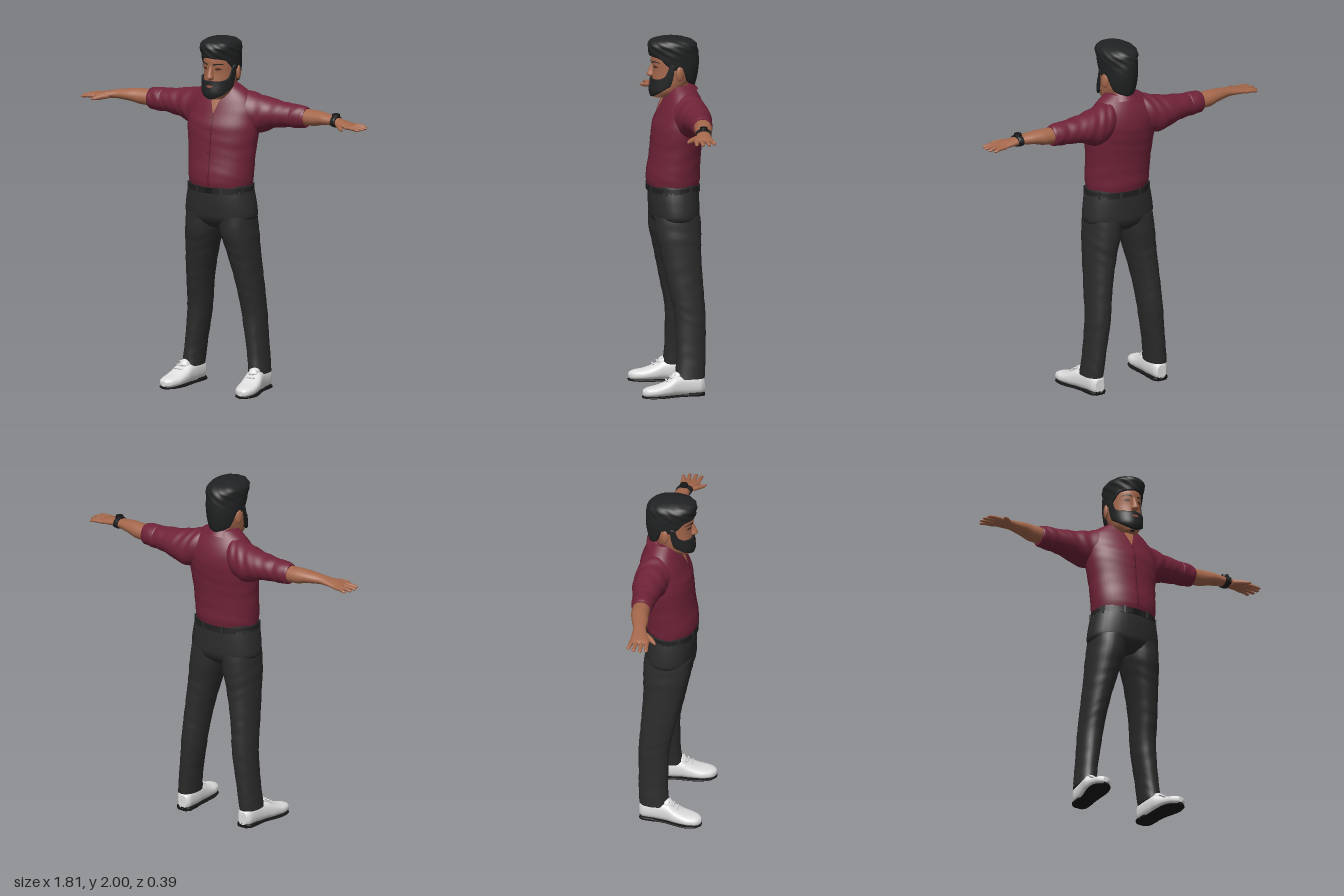
import * as THREE from 'three';
import { mergeVertices } from 'three/addons/utils/BufferGeometryUtils.js';

const mat = (name, color, open) => {
  const m = new THREE.MeshStandardMaterial({ color });
  m.name = name;
  if (open) m.side = THREE.DoubleSide;
  return m;
};

// Smooth monotone interpolation of a table whose first column is t
function sample(rows, t) {
  const n = rows.length - 1;
  t = Math.min(Math.max(t, rows[0][0]), rows[n][0]);
  let i = 0;
  while (i < n - 1 && t > rows[i + 1][0]) i++;
  const h = rows[i + 1][0] - rows[i][0], s = (t - rows[i][0]) / h;
  return rows[0].map((_, k) => {
    const slope = j => (rows[j + 1][k] - rows[j][k]) / (rows[j + 1][0] - rows[j][0]);
    const tan = j => {
      if (j === 0) return slope(0);
      if (j === n) return slope(n - 1);
      const a = slope(j - 1), b = slope(j);
      return a * b > 0 ? 2 * a * b / (a + b) : 0;
    };
    const s2 = s * s, s3 = s2 * s;
    return (2 * s3 - 3 * s2 + 1) * rows[i][k] + (s3 - 2 * s2 + s) * h * tan(i)
      + (3 * s2 - 2 * s3) * rows[i + 1][k] + (s3 - s2) * h * tan(i + 1);
  });
}

// Closed body along an axis; rows are [t, cu, cv, ru, rv], (u,v) = y:(z,x) x:(y,z) z:(x,y)
function loft(axis, rows, { power = 2, steps = 24, sides = 32, ripple = 0 } = {}) {
  const pos = [], idx = [], t0 = rows[0][0], t1 = rows[rows.length - 1][0];
  const put = (t, u, v) => pos.push(...(axis === 'y' ? [v, t, u] : axis === 'x' ? [t, u, v] : [u, v, t]));
  const ring = t => {
    const [, cu, cv, ru, rv] = sample(rows, t);
    for (let j = 0; j < sides; j++) {
      const a = j / sides * Math.PI * 2, c = Math.cos(a), s = Math.sin(a);
      const k = 1 + ripple * Math.sin(t * 75 + 2 * Math.sin(a * 2 + t * 9)) * Math.sin(a + t * 14);
      put(t, cu + k * ru * Math.sign(c) * Math.abs(c) ** (2 / power),
        cv + k * rv * Math.sign(s) * Math.abs(s) ** (2 / power));
    }
  };
  for (let i = 0; i <= steps; i++) ring(t0 + (t1 - t0) * i / steps);
  for (let i = 0; i < steps; i++) for (let j = 0; j < sides; j++) {
    const a = i * sides + j, b = i * sides + (j + 1) % sides;
    idx.push(a, b, a + sides, b, b + sides, a + sides);
  }
  for (const [t, top] of [[t0, false], [t1, true]]) {
    const base = pos.length / 3, r = sample(rows, t);
    ring(t);
    put(t, r[1], r[2]);
    for (let j = 0; j < sides; j++) {
      const a = base + j, b = base + (j + 1) % sides;
      idx.push(...(top ? [a, b, base + sides] : [b, a, base + sides]));
    }
  }
  return build(pos, idx);
}

function build(pos, idx) {
  const g = new THREE.BufferGeometry();
  g.setAttribute('position', new THREE.Float32BufferAttribute(pos, 3));
  g.setIndex(idx);
  g.computeVertexNormals();
  return g;
}

// Open surface from a rule (u, v) -> [x, y, z]
function patch(fn, nu, nv) {
  const pos = [], idx = [];
  for (let j = 0; j <= nv; j++) for (let i = 0; i <= nu; i++) pos.push(...fn(i / nu, j / nv));
  for (let j = 0; j < nv; j++) for (let i = 0; i < nu; i++) {
    const a = j * (nu + 1) + i, c = a + nu + 1;
    idx.push(a, a + 1, c, a + 1, c + 1, c);
  }
  const g = build(pos, idx);
  g.deleteAttribute('normal');
  const m = mergeVertices(g, 1e-5);
  m.computeVertexNormals();
  return m;
}

// Thin detail lying on the front of a vertical body
const decal = (rows, fn, off, nu = 8, nv = 8) => patch((u, v) => {
  const [x, y] = fn(u, v), [, cz, , rz, rx] = sample(rows, y);
  return [x, y, cz + rz * Math.sqrt(Math.max(0, 1 - (x / rx) ** 2)) + off];
}, nu, nv);

function mirrored(geo) {
  const g = geo.clone().scale(-1, 1, 1), ix = g.index.array;
  for (let i = 0; i < ix.length; i += 3) [ix[i], ix[i + 1]] = [ix[i + 1], ix[i]];
  g.computeVertexNormals();
  return g;
}

const HEAD = [[1.66, .045, 0, .055, .045], [1.70, .02, 0, .09, .076], [1.76, -.005, 0, .108, .086],
  [1.82, -.015, 0, .115, .09], [1.88, -.015, 0, .122, .09], [1.94, -.02, 0, .11, .085], [1.975, -.02, 0, .06, .05]];
const HAIR = [[1.71, -.045, 0, .09, .074], [1.78, -.035, 0, .118, .093], [1.85, -.028, 0, .133, .101],
  [1.9, -.02, 0, .138, .104], [1.95, -.012, 0, .14, .107], [1.975, -.006, 0, .122, .094],
  [1.99, 0, 0, .085, .066], [1.998, .005, 0, .04, .035], [2, .005, 0, 0, 0]];
const TORSO = [[1.165, -.015, 0, .143, .185], [1.2, -.015, 0, .15, .19], [1.35, -.028, 0, .143, .2],
  [1.5, -.045, 0, .145, .216], [1.58, -.06, 0, .13, .213], [1.64, -.063, 0, .11, .19],
  [1.69, -.06, 0, .085, .14], [1.725, -.055, 0, .068, .085]];

export function createModel() {
  const skin = mat('skin', 0xa5684c, true), shirt = mat('shirt red', 0x702338, true);
  const seam = mat('seam red', 0x521828, true), cloth = mat('trouser charcoal', 0x2b2b2c);
  const belt = mat('belt black', 0x1f1f20), hair = mat('hair black', 0x212223, true);
  const white = mat('shoe white', 0xdedede), sole = mat('sole black', 0x161616);
  const lip = mat('lip brown', 0x85493c, true), dark = mat('eye brown', 0x4a2d22, true);
  const model = new THREE.Group();
  const add = (name, geo, m) => {
    const mesh = new THREE.Mesh(geo, m);
    mesh.name = name;
    model.add(mesh);
  };
  const pair = (name, geo, m) => {
    add(name + 'Left', geo, m);
    add(name + 'Right', mirrored(geo), m);
  };

  // Head, neck and face
  add('head', loft('y', HEAD), skin);
  add('neck', loft('y', [[1.56, -.05, 0, .066, .07], [1.65, -.045, 0, .06, .062], [1.76, -.035, 0, .062, .064]]), skin);
  add('nose', loft('y', [[1.772, .1, 0, .008, .012], [1.785, .108, 0, .025, .02], [1.81, .105, 0, .02, .014],
    [1.85, .094, 0, .014, .01], [1.87, .095, 0, .008, .012]], { sides: 16 }), skin);
  pair('ear', new THREE.SphereGeometry(1, 14, 10).scale(.012, .042, .024).rotateY(.3).translate(.097, 1.8, -.04), skin);
  pair('eyebrow', decal(HEAD, (u, v) => [.017 + .05 * u, 1.853 + .008 * Math.sin(u * 2.6) + .009 * v * (1 - .6 * u)], .004), hair);
  pair('eye', decal(HEAD, (u, v) => [.022 + .036 * u, 1.834 + (v - .5) * .014 * Math.sin(u * Math.PI)], .002), dark);

  // Beard wraps the jaw and climbs into the sideburns
  const beardTop = [[0, 1.768], [.4, 1.764], [.8, 1.768], [1.1, 1.785], [1.35, 1.85], [1.5, 1.85]];
  add('beard', patch((u, v) => {
    const a = (u - .5) * 3, k = Math.abs(a), low = 1.655 + .028 * k * k;
    const y = low + (sample(beardTop, k)[1] - low) * Math.min(v * 1.1, 1);
    const [, cz, , rz, rx] = sample(HEAD, y), s = v === 0 ? .5 : v === 1 ? .9 : 1;
    return [Math.sin(a) * (rx + .012) * s, y, cz + Math.cos(a) * (rz + .011) * s];
  }, 40, 14), hair);
  add('lips', decal(HEAD, (u, v) => [(u - .5) * .05, 1.737 + (v - .5) * .016 * Math.sin(u * Math.PI)], .015), lip);

  // Swept, lumpy hair with a low nape and raised hairline
  const hairline = [[0, 1.898], [.8, 1.885], [1.15, 1.84], [1.4, 1.82], [1.75, 1.835], [2.1, 1.75], [3.15, 1.715]];
  add('hair', patch((u, v) => {
    const a = (u - .5) * Math.PI * 2, w = Math.min((1 - v) * 1.05, 1);
    const y = 2 - (2 - sample(hairline, Math.abs(a))[1]) * w ** 1.7;
    const [, cz, , rz, rx] = sample(HAIR, y), s = v === 0 ? .84 : 1;
    const lump = 1 + .035 * Math.sin(a * 7 + y * 50) * Math.sin(y * 90 + a * 3) * THREE.MathUtils.smoothstep(y, 1.84, 1.94);
    return [Math.sin(a) * rx * s * lump, y, cz + Math.cos(a) * rz * s * lump];
  }, 64, 26), hair);

  // Shirt with open neck, placket, collar and rolled sleeves
  add('shirtBody', loft('y', TORSO, { steps: 40, sides: 48, ripple: .006 }), shirt);
  add('openNeck', decal(TORSO, (u, v) => [(u - .5) * .085 * v, 1.575 + .115 * v], .005), skin);
  add('placket', decal(TORSO, (u, v) => [.004 + (u - .5) * .007, 1.175 + .4 * v], .003, 1, 30), seam);
  for (let i = 0; i < 6; i++)
    add('button', decal(TORSO, (u, v) => [-.008 + (u - .5) * .008, 1.22 + i * .066 + v * .008], .005, 1, 1), seam);
  add('collar', patch((u, v) => {
    const a = .3 + u * (Math.PI * 2 - .6), front = Math.max(0, Math.cos(a));
    const r = .107 - .035 * v, top = 1.715 - .025 * Math.cos(a);
    return [Math.sin(a) * r, top - (1 - v) * (.04 + .035 * front ** 3), -.048 + Math.cos(a) * r * (1 - .06 * front)];
  }, 40, 5), shirt);
  pair('sleeve', loft('x', [[.08, 1.61, -.07, .085, .085], [.15, 1.58, -.085, .108, .1], [.21, 1.565, -.095, .106, .095],
    [.3, 1.574, -.102, .08, .083], [.4, 1.576, -.1, .066, .066], [.47, 1.576, -.1, .059, .056]], { ripple: .03, steps: 36 }), shirt);
  pair('rolledCuff', loft('x', [[.41, 1.576, -.1, .06, .058], [.42, 1.576, -.1, .067, .064],
    [.49, 1.576, -.099, .061, .056], [.503, 1.576, -.099, .055, .05]], { ripple: .03 }), shirt);

  // Forearms, hands and fingers, palms down
  pair('forearm', loft('x', [[.46, 1.577, -.1, .046, .048], [.55, 1.579, -.096, .045, .05], [.62, 1.584, -.085, .035, .047],
    [.7, 1.582, -.072, .025, .037], [.74, 1.577, -.065, .021, .042], [.78, 1.572, -.057, .018, .05],
    [.82, 1.567, -.054, .013, .052], [.832, 1.566, -.054, .006, .045]], { steps: 32 }), skin);
  [[-.095, -.105, .885], [-.068, -.073, .902], [-.04, -.037, .905], [-.013, -.004, .895]].forEach(([z0, z1, tip]) =>
    pair('finger', loft('x', [[.8, 1.568, z0, .011, .014], [.85, 1.566, (z0 + z1) / 2, .01, .012],
      [tip - .01, 1.561, z1, .008, .01], [tip, 1.56, z1, .002, .003]], { sides: 12, steps: 12 }), skin));
  pair('thumb', loft('x', [[.73, 1.572, -.04, .013, .02], [.76, 1.568, -.01, .014, .02], [.79, 1.562, .018, .011, .015],
    [.81, 1.56, .034, .004, .005]], { sides: 14, steps: 12 }), skin);

  // Wristwatch on the left arm only
  add('watchStrap', loft('x', [[.69, 1.582, -.073, .032, .045], [.705, 1.582, -.071, .034, .045], [.72, 1.58, -.069, .031, .045]]), belt);
  add('watchCase', new THREE.CylinderGeometry(.021, .023, .014, 24).translate(.705, 1.616, -.072), sole);

  // Trousers, waistband and belt loops
  const hips = [[.925, -.025, 0, .085, .1], [.96, -.024, 0, .122, .185], [1.0, -.022, 0, .138, .214],
    [1.08, -.018, 0, .14, .205], [1.18, -.015, 0, .137, .183]];
  add('hips', loft('y', hips, { power: 2.2 }), cloth);
  pair('trouserLeg', loft('y', [[.1, -.075, .213, .084, .055], [.2, -.083, .202, .082, .055], [.4, -.085, .178, .085, .063],
    [.6, -.062, .159, .098, .07], [.8, -.036, .13, .115, .087], [.92, -.025, .109, .13, .1], [1.0, -.022, .1, .13, .1]],
  { steps: 44, ripple: .014, power: 2.15 }), cloth);
  add('belt', loft('y', [[1.13, -.016, 0, .143, .194], [1.163, -.015, 0, .142, .19]], { steps: 2, sides: 48, power: 2.1 }), belt);
  for (const a of [.4, 1.1, 2.1, 2.8])
    pair('beltLoop', new THREE.BoxGeometry(.014, .045, .008).rotateY(a)
      .translate(Math.sin(a) * .194, 1.147, -.015 + Math.cos(a) * .146), cloth);
  add('buckle', new THREE.BoxGeometry(.04, .03, .008).translate(0, 1.147, .129), sole);

  // Shoes turned slightly outwards, with laces, soles and heels
  pair('shoe', loft('z', [[-.156, .208, .052, .028, .038], [-.135, .21, .062, .045, .054], [-.05, .215, .066, .05, .06],
    [0, .222, .064, .054, .057], [.05, .23, .05, .06, .043], [.11, .237, .038, .061, .031],
    [.165, .243, .033, .047, .026], [.185, .245, .031, .031, .021], [.195, .246, .03, .012, .014]], { power: 2.5, steps: 36 }), white);
  pair('shoeTongue', new THREE.SphereGeometry(1, 16, 12).scale(.033, .03, .04).rotateX(.5).translate(.222, .108, .0), white);
  for (let i = 0; i < 3; i++)
    pair('lace', new THREE.CapsuleGeometry(.005, .045, 4, 8).rotateZ(Math.PI / 2)
      .translate(.225 + i * .004, .127 - i * .016, .012 + i * .024), white);
  pair('sole', loft('z', [[-.156, .208, .006, .03, .006], [-.13, .21, .006, .047, .006], [-.03, .217, .007, .049, .006],
    [.1, .236, .006, .063, .006], [.165, .243, .006, .048, .006], [.196, .246, .007, .014, .006]], { power: 4 }), sole);
  pair('heel', loft('z', [[-.156, .208, .011, .033, .011], [-.135, .21, .011, .05, .011], [-.065, .214, .011, .052, .011]],
    { power: 4, steps: 8 }), sole);
  return model;
}
